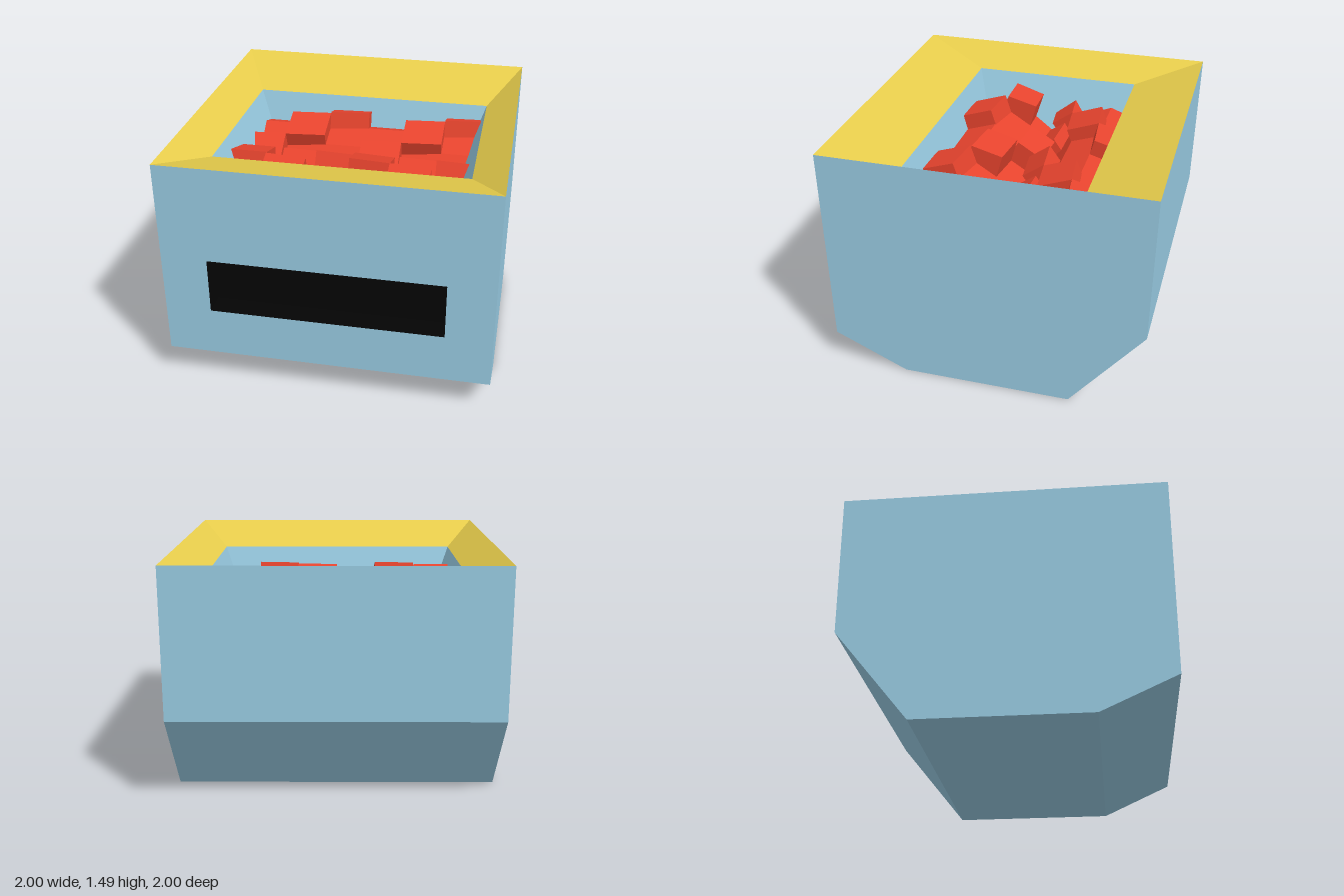
import * as THREE from 'three';

const paint = (color) => new THREE.MeshStandardMaterial({ color, flatShading: true, side: THREE.DoubleSide });
const blue = paint(0x9acde4);
const yellow = paint(0xe8ce4c);
const red = paint(0xe8442e);
const black = paint(0x040404);

function mesh(name, geometry, material, parent) {
  const m = new THREE.Mesh(geometry, material);
  m.name = name;
  parent.add(m);
  return m;
}

// Flat-faced strip joining a series of equal-length point loops
function strip(loops, closed) {
  const pos = [];
  const n = loops[0].length;
  for (let r = 0; r < loops.length - 1; r++) {
    for (let i = 0; i < (closed ? n : n - 1); i++) {
      const j = (i + 1) % n;
      const [a, b, c, d] = [loops[r][i], loops[r][j], loops[r + 1][j], loops[r + 1][i]];
      pos.push(...a, ...b, ...c, ...a, ...c, ...d);
    }
  }
  const g = new THREE.BufferGeometry();
  g.setAttribute('position', new THREE.Float32BufferAttribute(pos, 3));
  g.computeVertexNormals();
  return g;
}

const shapeOf = (pts) => new THREE.Shape(pts.map(([a, b]) => new THREE.Vector2(a, b)));
const rectangle = (x, z, y) => [[-x, y, z], [x, y, z], [x, y, -z], [-x, y, -z]];

export function createModel() {
  const model = new THREE.Group();
  model.name = 'container';

  // Side profile as (z, y), from the front bottom edge round to the back top
  const profile = [[0.99, 0.21], [0.53, 0], [-0.53, 0], [-0.985, 0.565], [-1, 1.485]];
  const shell = new THREE.Group();
  shell.name = 'shell';
  model.add(shell);
  for (const x of [-1, 1]) {
    const side = new THREE.ShapeGeometry(shapeOf([...profile, [1, 1.485]]));
    side.rotateY(-Math.PI / 2);
    if (x > 0) { // mirror and flip the winding so the panel faces outward
      side.setIndex([...side.index.array].reverse());
      side.computeVertexNormals();
    }
    side.translate(x, 0, 0);
    mesh('sidePanel', side, blue, shell);
  }
  const edge = (x) => profile.map(([z, y]) => [x, y, z]);
  mesh('bottomAndBack', strip([edge(-1), edge(1)], false), blue, shell);

  // Front panel with the slot opening, leaning out slightly toward the top
  const frontZ = (y) => 0.99 + 0.01 * (y - 0.21) / 1.275;
  const slot = [[-0.715, 0.52], [-0.715, 0.875], [0.715, 0.875], [0.715, 0.52]];
  const front = shapeOf([[-1, 0.21], [1, 0.21], [1, 1.485], [-1, 1.485]]);
  front.holes.push(shapeOf(slot));
  const frontGeo = new THREE.ShapeGeometry(front);
  const fp = frontGeo.attributes.position;
  for (let i = 0; i < fp.count; i++) fp.setZ(i, frontZ(fp.getY(i)));
  frontGeo.computeVertexNormals();
  mesh('frontPanel', frontGeo, blue, shell);

  // Dark recess behind the slot
  const recess = new THREE.Group();
  recess.name = 'slotRecess';
  model.add(recess);
  const mouth = slot.map(([x, y]) => [x, y, frontZ(y)]).reverse();
  const depth = mouth.map(([x, y]) => [x, y, 0.844]);
  mesh('recessWalls', strip([mouth, depth], true), black, recess);
  mesh('recessBack', new THREE.PlaneGeometry(1.43, 0.355), black, recess).position.set(0, 0.6975, 0.844);

  // Sloping rim and the tapered well below it
  mesh('rim', strip([rectangle(1, 1, 1.485), rectangle(0.79, 0.56, 1.35)], true), yellow, model);
  mesh('wellWalls', strip([rectangle(0.79, 0.56, 1.35), rectangle(0.63, 0.44, 0.9)], true), blue, model);

  // Ridged bed of the filling, running the full width
  const filling = new THREE.Group();
  filling.name = 'filling';
  model.add(filling);
  const bed = shapeOf([[-0.53, 0.9], [-0.53, 1.145], [-0.415, 1.18], [-0.235, 1.12], [-0.09, 0.96],
    [-0.05, 0.96], [0.3, 1.18], [0.5, 1.115], [0.5, 0.9]]);
  const bedGeo = new THREE.ExtrudeGeometry(bed, { depth: 1.58, bevelEnabled: false });
  bedGeo.rotateY(-Math.PI / 2).translate(0.79, 0, 0);
  mesh('fillingBed', bedGeo, red, filling);

  // One brick: its top runs from (z0, y0) to (z1, y1); skew slides its ends in z
  const width = 1.58 / 6;
  const brick = (column, z0, y0, z1, y1, skew) => {
    const dz = z1 - z0, dy = y1 - y0, h = 0.17;
    const g = new THREE.BoxGeometry(width, h, Math.hypot(dz, dy));
    g.translate(0, -h / 2, 0).rotateX(-Math.atan2(dy, dz));
    const p = g.attributes.position;
    for (let i = 0; i < p.count; i++) p.setZ(i, p.getZ(i) + skew * p.getX(i));
    g.translate((column - 2.5) * width, (y0 + y1) / 2, (z0 + z1) / 2);
    g.computeVertexNormals();
    mesh('brick', g, red, filling);
  };
  for (const c of [0, 3]) {
    brick(c, 0.08, 1.22, 0.28, 1.275, c ? 0.1 : 0);
    brick(c, -0.24, 1.1, -0.165, 1.205, -0.1);
  }
  for (const c of [1, 4]) {
    brick(c, -0.4, 1.275, -0.19, 1.2, -0.1);
    brick(c, -0.12, 1.12, -0.015, 1.05, 0.05);
    brick(c, 0.315, 1.28, 0.53, 1.21, 0.1);
  }
  for (const c of [2, 5]) {
    brick(c, -0.54, 1.25, -0.43, 1.28, -0.1);
    brick(c, -0.11, 1.1, 0.05, 1.2, 0.08);
  }
  return model;
}
